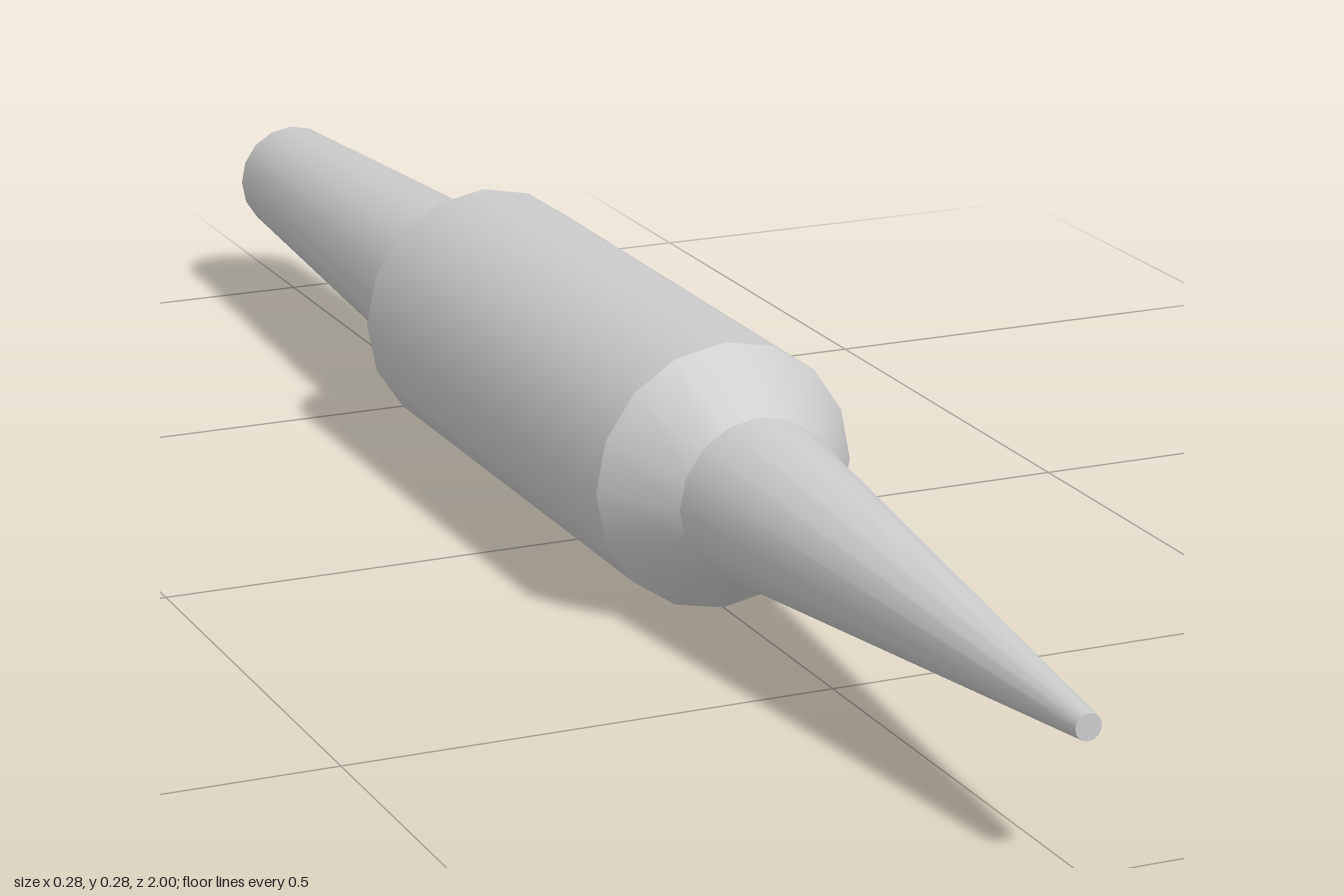
import * as THREE from 'three';

const SIDES = 16;
const AXIS_Y = 0.138;

export function createModel() {
  const group = new THREE.Group();
  const material = new THREE.MeshStandardMaterial({ color: 0xcccccc });

  // Tapered round section between two z positions, smooth around, sharp at its ends
  function section(name, zFront, rFront, zBack, rBack) {
    const geometry = new THREE.CylinderGeometry(rFront, rBack, zFront - zBack, SIDES);
    geometry.rotateX(Math.PI / 2);
    const mesh = new THREE.Mesh(geometry, material);
    mesh.name = name;
    mesh.position.set(0, AXIS_Y, (zFront + zBack) / 2);
    group.add(mesh);
  }

  section('pointedTip', 1, 0.013, 0.33, 0.084);
  section('frontShoulder', 0.33, 0.084, 0.25, 0.138);
  section('barrel', 0.25, 0.138, -0.38, 0.138);
  section('rearShoulder', -0.38, 0.138, -0.42, 0.094);
  section('taperedTail', -0.42, 0.094, -1, 0.063);

  return group;
}
